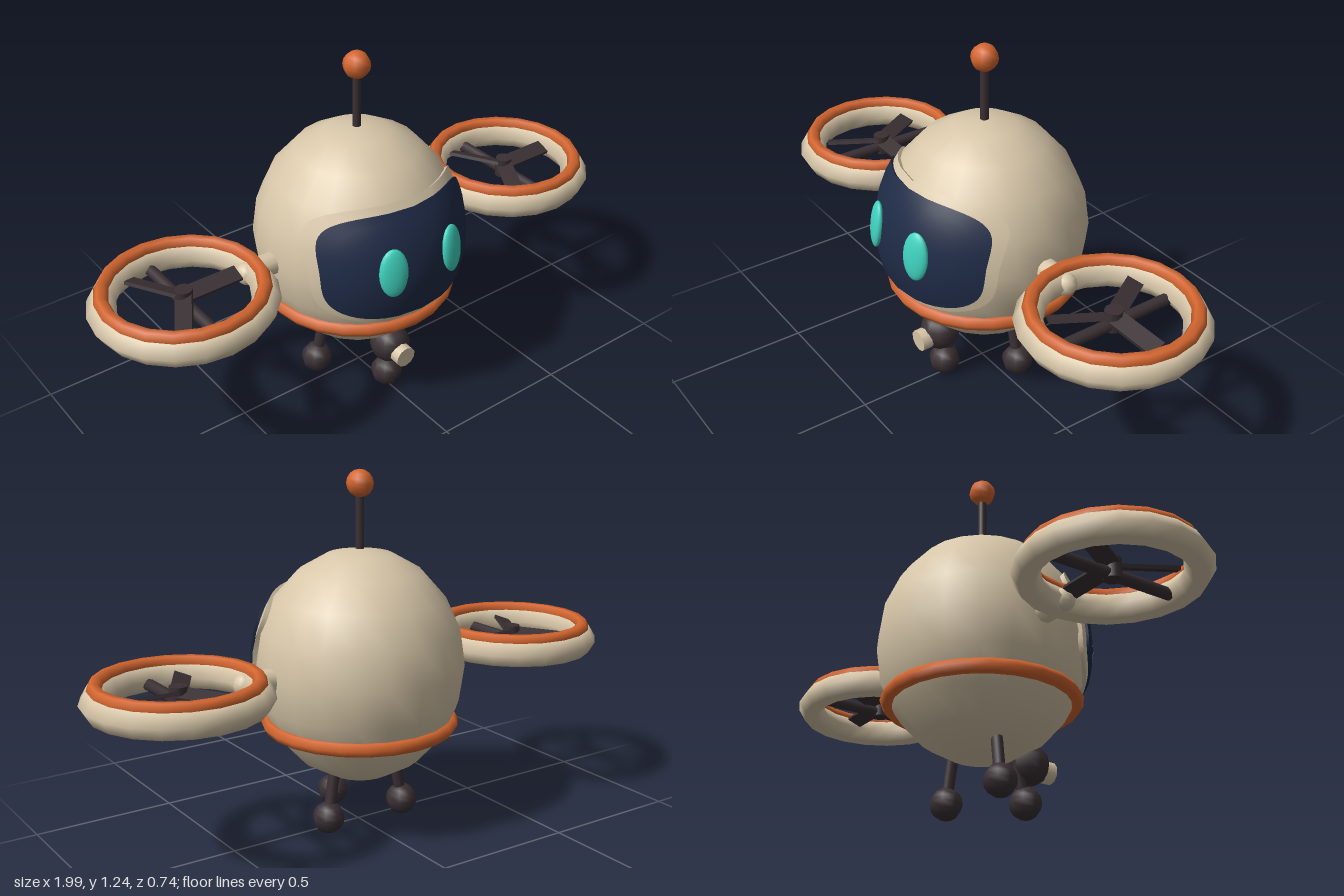
import * as THREE from 'three';

const mat = (name, color) => Object.assign(new THREE.MeshStandardMaterial({ color }), { name });

// Body ellipsoid: radius across, radius up, centre
const RX = 0.36, RY = 0.405, CY = 0.577, CZ = -0.01;

// Depth of the body's front surface, swollen by factor s
function frontZ(x, y, s) {
  const k = 1 - (x / (RX * s)) ** 2 - ((y - CY) / (RY * s)) ** 2;
  return CZ + RX * s * Math.sqrt(Math.max(k, 0));
}

// Rounded panel wrapped over the front of the body, with an edge going down into it
function wrappedPanel(halfW, halfH, cy, swell) {
  const rings = 8, segs = 56, pos = [0, cy, frontZ(0, cy, swell)], index = [];
  const power = (v) => Math.sign(v) * Math.abs(v) ** (2 / 3.6);
  const addRing = (r, inset) => {
    for (let j = 0; j < segs; j++) {
      const a = (j / segs) * Math.PI * 2;
      const x = halfW * r * power(Math.cos(a)), y = cy + halfH * r * power(Math.sin(a));
      const z = frontZ(x, y, swell);
      pos.push(x * inset, CY + (y - CY) * inset, CZ + (z - CZ) * inset);
    }
  };
  for (let i = 1; i <= rings; i++) addRing(i / rings, 1);
  addRing(1, 1);
  addRing(1, 0.94);
  for (let j = 0; j < segs; j++) {
    const n = (j + 1) % segs;
    index.push(0, 1 + j, 1 + n);
    for (let i = 0; i <= rings; i++) {
      if (i === rings - 1) continue; // hard edge between face and side
      const a = 1 + i * segs, b = a + segs;
      index.push(a + j, b + j, b + n, a + j, b + n, a + n);
    }
  }
  const g = new THREE.BufferGeometry();
  g.setAttribute('position', new THREE.Float32BufferAttribute(pos, 3));
  g.setIndex(index);
  g.computeVertexNormals();
  return g;
}

export function createModel() {
  const model = new THREE.Group();
  model.name = 'hoverRobot';
  const cream = mat('cream', 0xd8c7a9), orange = mat('orange', 0xd4662f);
  const dark = mat('charcoal', 0x3a3033), navy = mat('navy', 0x1f2b47), teal = mat('teal', 0x40d3bf);

  const add = (name, geometry, material, x = 0, y = 0, z = 0, parent = model) => {
    const m = new THREE.Mesh(geometry, material);
    m.name = name;
    m.position.set(x, y, z);
    parent.add(m);
    return m;
  };
  const rod = (name, from, to, r, material, parent = model) => {
    const a = new THREE.Vector3(...from), b = new THREE.Vector3(...to), d = b.clone().sub(a);
    const m = add(name, new THREE.CylinderGeometry(r, r, d.length(), 10), material, 0, 0, 0, parent);
    m.position.copy(a).add(b).multiplyScalar(0.5);
    m.quaternion.setFromUnitVectors(new THREE.Vector3(0, 1, 0), d.normalize());
    return m;
  };
  const flatTorus = (R, r, segs) => new THREE.TorusGeometry(R, r, 6, segs).rotateX(Math.PI / 2);

  // Body and waist band
  add('body', new THREE.SphereGeometry(1, 20, 10).scale(RX, RY, RX), cream, 0, CY, CZ);
  add('waistBand', flatTorus(0.317, 0.025, 24), orange, 0, 0.378, CZ);

  // Face
  add('visorRim', wrappedPanel(0.325, 0.208, 0.632, 1.026), cream);
  add('visor', wrappedPanel(0.309, 0.188, 0.633, 1.047), navy);
  for (const s of [-1, 1]) {
    const x = s * 0.121, y = 0.636, z = frontZ(x, y, 1.047);
    const eye = add('eye', new THREE.SphereGeometry(1, 16, 12).scale(0.05, 0.086, 0.02), teal, x, y, z + 0.003);
    eye.lookAt(x + x / RX ** 2, y + (y - CY) / RY ** 2, z + (z - CZ) / RX ** 2);
  }

  // Antenna
  rod('antennaRod', [0, 0.95, CZ], [0, 1.18, CZ], 0.015, dark);
  add('antennaBall', new THREE.SphereGeometry(0.047, 8, 8), orange, 0, 1.198, CZ);

  // Ducted fans on side arms
  for (const s of [-1, 1]) {
    rod('arm', [s * 0.3, CY, CZ], [s * 0.45, CY, CZ], 0.04, cream);
    add('armEnd', new THREE.SphereGeometry(0.04, 10, 8), cream, s * 0.45, CY, CZ);

    const fan = new THREE.Group();
    fan.name = 'fan';
    fan.position.set(s * 0.687, CY, CZ);
    model.add(fan);
    add('duct', flatTorus(0.262, 0.048, 20), cream, 0, 0, 0, fan);
    add('ductTrim', flatTorus(0.259, 0.024, 20), orange, 0, 0.046, 0, fan);
    rod('strut', [0, -0.012, -0.23], [0, -0.012, 0.23], 0.02, dark, fan);
    add('hub', new THREE.CylinderGeometry(0.03, 0.03, 0.07, 10), dark, 0, 0.005, 0, fan);
    for (let i = 0; i < 3; i++) {
      const blade = new THREE.BoxGeometry(0.19, 0.012, 0.058);
      blade.rotateX(0.35).translate(0.108, 0.015, 0).rotateY((i * Math.PI * 2) / 3);
      add('blade', blade, dark, 0, 0, 0, fan);
    }
  }

  // Camera under the chin
  add('cameraHousing', new THREE.SphereGeometry(0.071, 10, 8), dark, 0, 0.197, 0.182);
  rod('cameraLens', [0, 0.187, 0.2], [0, 0.184, 0.273], 0.039, cream);

  // Three legs with ball feet
  const legs = [
    [[0, 0.24, 0.115], [0, 0.06, 0.165]],
    [[0.125, 0.23, -0.04], [0.155, 0.06, -0.047]],
    [[-0.125, 0.23, -0.04], [-0.155, 0.06, -0.047]],
  ];
  for (const [hip, foot] of legs) {
    rod('leg', hip, foot, 0.02, dark);
    add('foot', new THREE.SphereGeometry(0.056, 8, 8), dark, ...foot);
  }
  return model;
}
